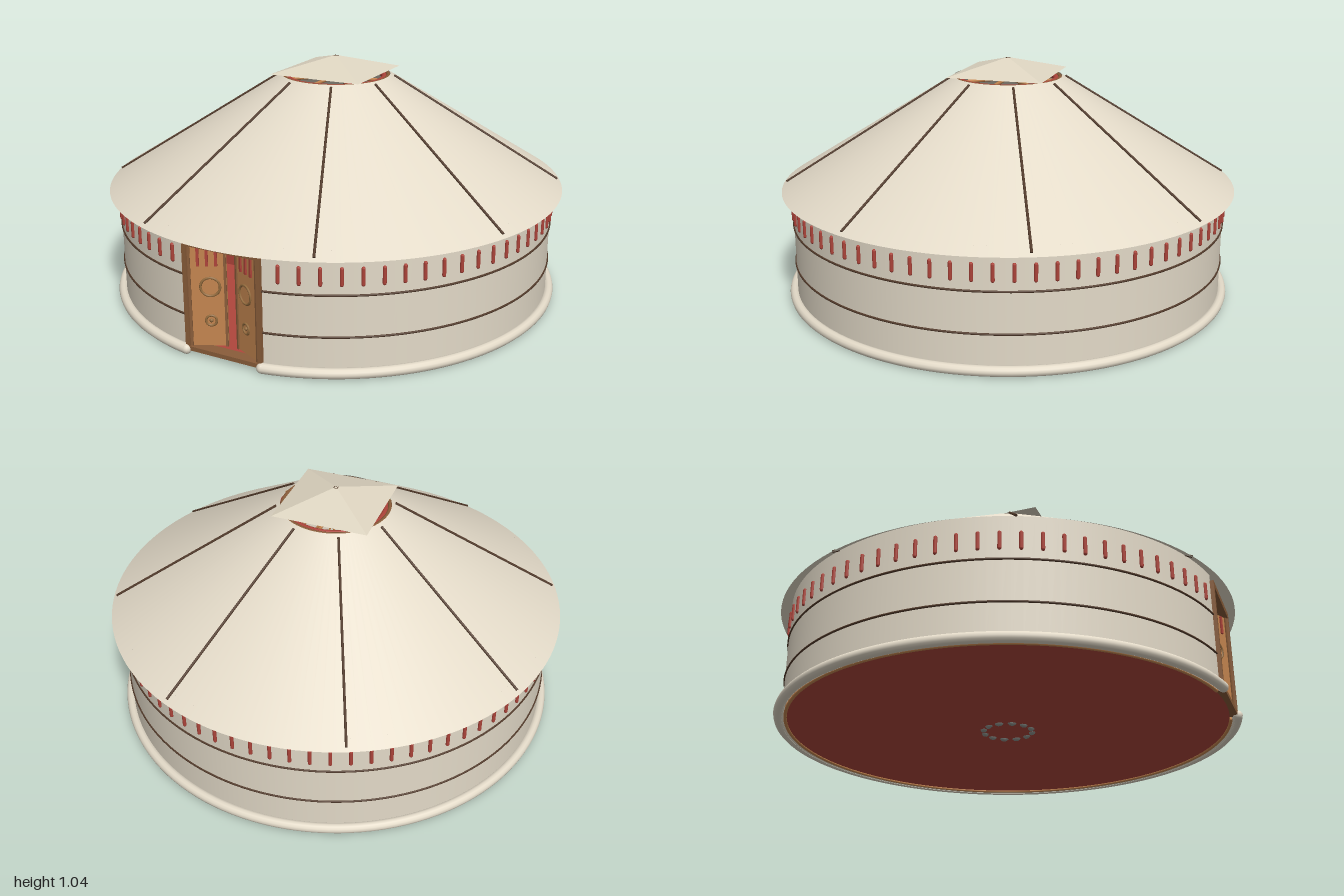
import * as THREE from 'three';

const paint = (name, color, side = THREE.FrontSide) => {
  const m = new THREE.MeshStandardMaterial({ color, side });
  m.name = name;
  return m;
};

export function createModel() {
  const felt = paint('felt', 0xe3dac8, THREE.DoubleSide);
  const coverFelt = paint('coverFelt', 0xded5c1, THREE.DoubleSide);
  const rope = paint('darkRope', 0x523a2a);
  const red = paint('redCloth', 0xae443a);
  const carpet = paint('carpet', 0xb0463c, THREE.DoubleSide);
  const wood = paint('doorWood', 0xc58650);
  const darkWood = paint('frameWood', 0x8a5d3a);
  const brass = paint('ringWood', 0x946c3e);
  const stone = paint('stone', 0x90948f);

  const yurt = new THREE.Group();
  yurt.name = 'yurt';
  const add = (name, geo, mat, x = 0, y = 0, z = 0, parent = yurt) => {
    const mesh = new THREE.Mesh(geo, mat);
    mesh.name = name;
    mesh.position.set(x, y, z);
    parent.add(mesh);
    return mesh;
  };
  const box = (name, w, h, d, mat, x, y, z, parent) =>
    add(name, new THREE.BoxGeometry(w, h, d), mat, x, y, z, parent);
  const polar = (a, r, y) => new THREE.Vector3(r * Math.sin(a), y, r * Math.cos(a));
  const rod = (name, a, b, r, mat) => {
    const mesh = add(name, new THREE.CylinderGeometry(r, r, a.distanceTo(b), 8), mat);
    mesh.position.copy(a).lerp(b, 0.5);
    mesh.quaternion.setFromUnitVectors(new THREE.Vector3(0, 1, 0), b.clone().sub(a).normalize());
  };

  const R = 0.955;          // wall radius
  const gap = 0.178;        // half angle of the doorway
  const arc = Math.PI * 2 - gap * 2;
  const roofY = r => 0.485 + (1 - r) * 0.623;
  // horizontal ring that leaves the doorway open
  const openRing = (name, r, tube, y, mat) => add(name,
    new THREE.TorusGeometry(r, tube, 12, 128, arc).rotateZ(Math.PI / 2 + gap).rotateX(Math.PI / 2), mat, 0, y, 0);

  // wall, base roll and bands
  add('wall', new THREE.CylinderGeometry(R, R, 0.508, 128, 1, true, gap, arc), felt, 0, 0.259, 0);
  openRing('baseRoll', 0.968, 0.021, 0.022, felt);
  for (const s of [-1, 1]) {
    const p = polar(s * gap, 0.968, 0.022);
    add('baseRollEnd', new THREE.SphereGeometry(0.021, 12, 8), felt, p.x, p.y, p.z);
  }
  for (const y of [0.165, 0.335]) openRing('wallBand', R + 0.001, 0.0045, y, rope);

  // hanging red tassels under the eaves
  const tassels = 76;
  const tasselGeo = new THREE.CapsuleGeometry(0.008, 0.062, 3, 8);
  for (let i = 3; i <= tassels - 3; i++) {
    const p = polar((i / tassels) * Math.PI * 2, R + 0.002, 0.41);
    add('tassel', tasselGeo, red, p.x, p.y, p.z);
  }

  // roof cone and its ropes
  const roofTop = 0.238;
  add('roof', new THREE.CylinderGeometry(roofTop, 1, roofY(roofTop) - 0.485, 128, 1, true), felt,
    0, (roofY(roofTop) + 0.485) / 2, 0);
  for (let i = 0; i < 8; i++) {
    const a = (i + 0.5) * Math.PI / 4;
    rod('roofRope', polar(a, 0.255, roofY(0.255) + 0.003), polar(a, 0.985, roofY(0.985) + 0.003), 0.0055, rope);
  }

  // smoke hole ring with spokes, set just below the roof edge
  const ring = (name, r, t, y, mat) =>
    add(name, new THREE.TorusGeometry(r, t, 8, 64).rotateX(Math.PI / 2), mat, 0, y, 0);
  ring('crownRing', 0.23, 0.009, 0.951, darkWood);
  ring('crownTrim', 0.212, 0.013, 0.945, red);
  for (let i = 0; i < 4; i++) {
    const a = i * Math.PI / 4;
    rod('crownSpoke', polar(a, -0.21, 0.947), polar(a, 0.21, 0.947), 0.008, wood);
  }

  // square cover over the smoke hole
  const cover = new THREE.ConeGeometry(0.21 * Math.SQRT2, 0.067, 4, 1, true).rotateY(Math.PI / 4).toNonIndexed();
  cover.computeVertexNormals();
  add('crownCover', cover, coverFelt, 0, 1.0055, 0);
  box('coverKnot', 0.018, 0.008, 0.018, rope, 0, 1.033, 0);

  // door frame
  for (const s of [-1, 1]) box('doorJamb', 0.018, 0.465, 0.05, darkWood, s * 0.164, 0.252, 0.93);
  box('doorLintel', 0.346, 0.026, 0.05, darkWood, 0, 0.473, 0.93);
  box('doorSill', 0.346, 0.018, 0.05, darkWood, 0, 0.028, 0.93);

  // two leaves, ajar inwards
  for (const s of [-1, 1]) {
    const leaf = new THREE.Group();
    leaf.name = s > 0 ? 'leftDoorLeaf' : 'rightDoorLeaf';
    leaf.position.set(s * 0.156, 0, 0.944);
    leaf.rotation.y = -s * 0.45;
    yurt.add(leaf);
    box('leafPanel', 0.15, 0.425, 0.014, wood, -s * 0.075, 0.248, -0.007, leaf);
    for (const x of [0.006, 0.144]) box('leafStile', 0.01, 0.425, 0.008, darkWood, -s * x, 0.248, 0.002, leaf);
    for (const x of [0.04, 0.075, 0.11]) box('leafRibbon', 0.011, 0.08, 0.008, red, -s * x, 0.415, 0.003, leaf);
    for (const [y, r] of [[0.287, 0.038], [0.145, 0.021]]) {
      add('leafRing', new THREE.TorusGeometry(r, 0.005, 8, 28), brass, -s * 0.085, y, 0.001, leaf);
    }
    add('leafBoss', new THREE.SphereGeometry(0.008, 10, 8), brass, -s * 0.085, 0.145, 0, leaf);
  }
  box('doorCurtain', 0.1, 0.085, 0.006, red, 0, 0.42, 0.86);

  // floor and hearth stones
  add('floor', new THREE.CircleGeometry(0.934, 96).rotateX(-Math.PI / 2), carpet, 0, 0.014, 0);
  const stoneGeo = new THREE.SphereGeometry(0.021, 8, 6).scale(1, 0.75, 0.75);
  for (let i = 0; i < 12; i++) {
    const a = i * Math.PI / 6, p = polar(a, 0.105, 0.019);
    add('hearthStone', stoneGeo, stone, p.x, p.y, p.z).rotation.y = a;
  }

  // interior lattice along the wall
  openRing('latticeFoot', 0.94, 0.007, 0.012, wood);
  const slats = 72;
  for (let i = 0; i < slats; i++) {
    const a = gap + 0.12 + (i / (slats - 1)) * (arc - 0.24);
    for (const s of [-1, 1]) rod('latticeSlat', polar(a - s * 0.1, 0.94, 0.01), polar(a + s * 0.1, 0.94, 0.48), 0.005, wood);
  }

  // interior posts, and a chest stacked with folded bedding
  for (const s of [-1, 1]) rod('post', polar(s * Math.PI / 2, 0.2, 0.015), polar(s * Math.PI / 2, 0.2, 0.945), 0.014, darkWood);
  let y = 0.015;
  for (const [name, h, mat] of [
    ['chest', 0.135, wood], ['rug', 0.02, red], ['chestLid', 0.05, rope], ['quilt', 0.04, red],
    ['blanket', 0.03, felt], ['quilt', 0.015, red], ['blanket', 0.03, felt], ['headboard', 0.05, darkWood],
  ]) {
    box(name, 0.4, h, 0.18, mat, 0, y + h / 2, -0.7);
    y += h;
  }

  return yurt;
}
